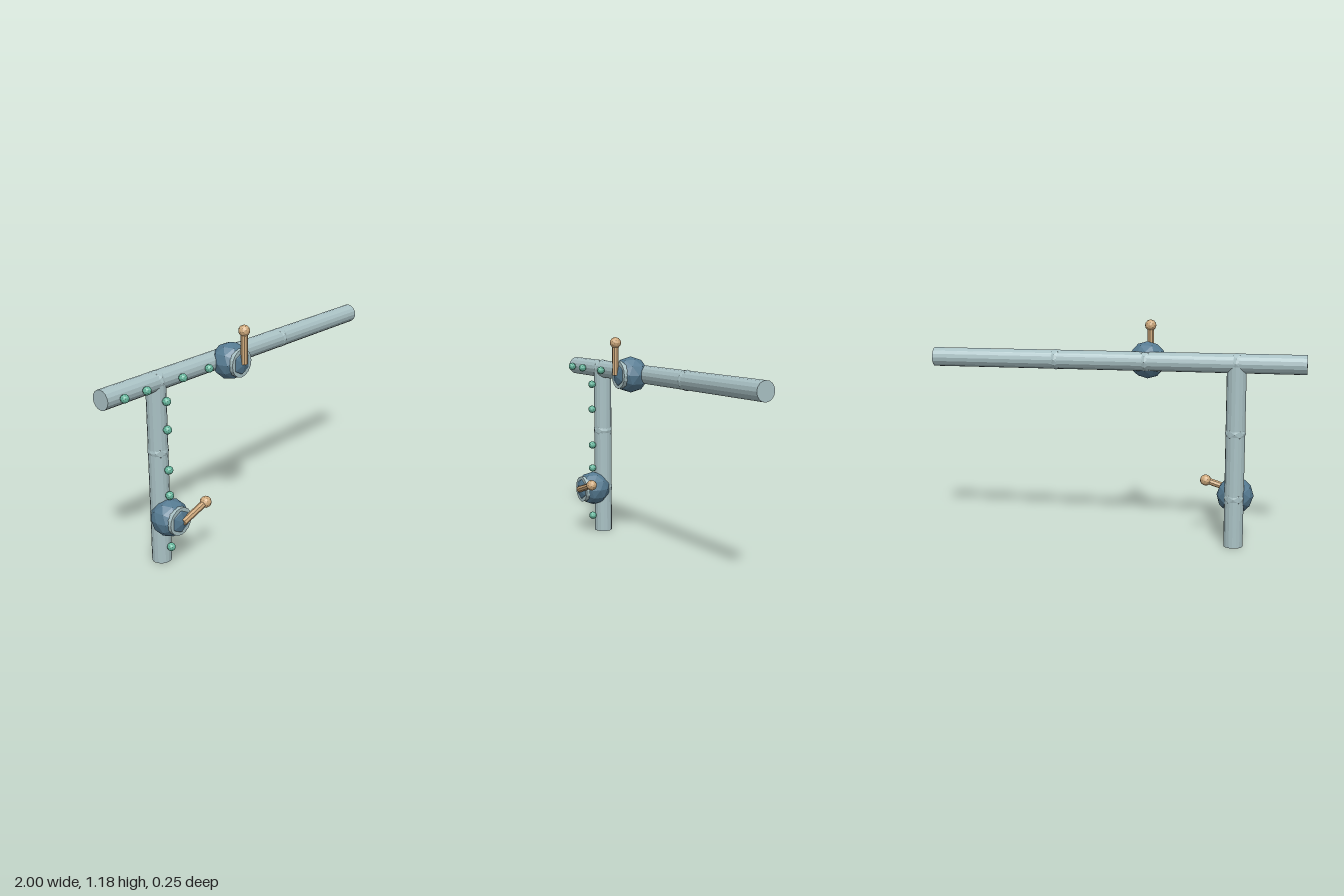
import * as THREE from 'three';

const PIPE_R = 0.051, PIPE_Z = -0.067, PIPE_Y = 0.976, BRANCH_X = -0.642;

function material(name, color) {
  const m = new THREE.MeshStandardMaterial({ color, flatShading: true });
  m.name = name;
  return m;
}

export function createModel() {
  const steel = material('pale steel', 0xa9c1c4);
  const blue = material('valve blue', 0x567b92);
  const tan = material('handle tan', 0xd0ab7e);
  const green = material('bead green', 0x67b99f);
  const model = new THREE.Group();
  model.name = 'pipework';

  const add = (parent, name, geometry, mat, x, y, z) => {
    const mesh = new THREE.Mesh(geometry, mat);
    mesh.name = name;
    mesh.position.set(x, y, z);
    parent.add(mesh);
    return mesh;
  };
  const ball = (r) => new THREE.IcosahedronGeometry(r, 1);

  // Main pipe and the branch that drops from it
  add(model, 'mainPipe', new THREE.CylinderGeometry(PIPE_R, PIPE_R, 2, 16), steel, 0, PIPE_Y, PIPE_Z)
    .rotation.z = Math.PI / 2;
  add(model, 'branchPipe', new THREE.CylinderGeometry(PIPE_R, PIPE_R, PIPE_Y, 16), steel, BRANCH_X, PIPE_Y / 2, PIPE_Z);

  // Faceted joints that just break through the pipe surface
  const joint = ball(0.055);
  for (const [x, y] of [[BRANCH_X, PIPE_Y], [-0.165, PIPE_Y], [0.32, PIPE_Y], [BRANCH_X, 0.61], [BRANCH_X, 0.262]]) {
    add(model, 'joint', joint, steel, x, y, PIPE_Z);
  }

  // Beads along the front of both pipes
  const bead = ball(0.0225);
  for (const x of [-0.914, -0.77, -0.524, -0.333]) add(model, 'bead', bead, green, x, PIPE_Y, 0.004);
  for (const y of [0.886, 0.738, 0.523, 0.384, 0.094]) add(model, 'bead', bead, green, BRANCH_X, y, 0.004);

  // Valves: round body, front flange, lever with a knob
  const body = ball(0.099);
  const flange = new THREE.CylinderGeometry(0.075, 0.075, 0.03, 16).rotateX(Math.PI / 2);
  const lever = new THREE.CylinderGeometry(0.0185, 0.0185, 0.176, 8);
  const knob = ball(0.031);
  for (const [x, y, angle] of [[-0.165, PIPE_Y, 0], [BRANCH_X, 0.262, -1.27]]) {
    const valve = new THREE.Group();
    valve.name = 'valve';
    valve.position.set(x, y, 0);
    add(valve, 'valveBody', body, blue, 0, 0, 0);
    add(valve, 'flange', flange, steel, 0, 0, 0.063);
    const handle = new THREE.Group();
    handle.name = 'handle';
    handle.position.z = 0.093;
    handle.rotation.z = angle;
    add(handle, 'lever', lever, tan, 0, 0.088, 0);
    add(handle, 'knob', knob, tan, 0, 0.176, 0);
    valve.add(handle);
    model.add(valve);
  }
  return model;
}
